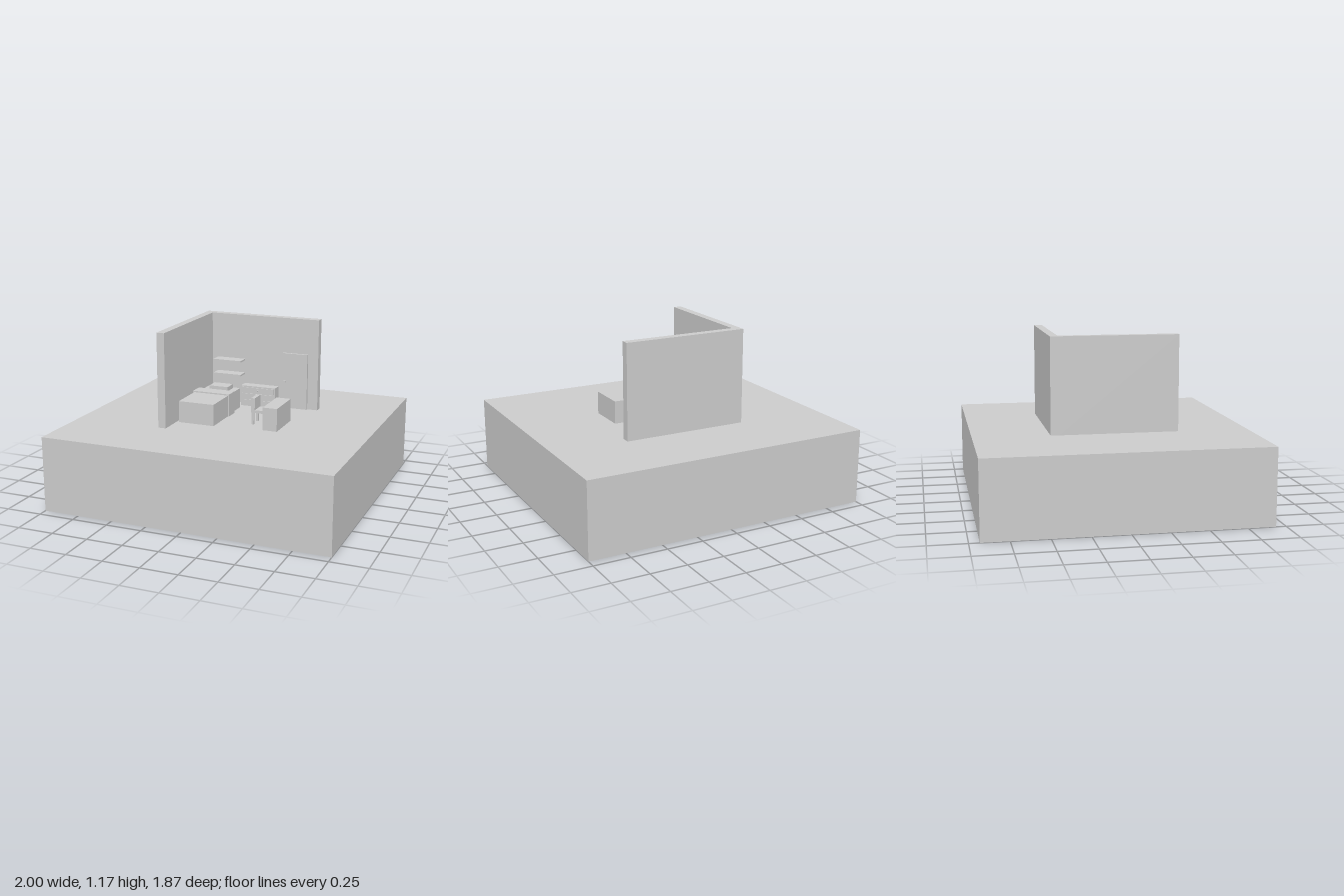
import * as THREE from 'three';

const material = new THREE.MeshStandardMaterial({ color: 0xcccccc, flatShading: true });
const FLOOR = 0.517;
const BACK = -0.36; // inner face of the back wall

// Box given by its extents along each axis
function block(parent, name, [x0, x1], [y0, y1], [z0, z1]) {
  const mesh = new THREE.Mesh(new THREE.BoxGeometry(x1 - x0, y1 - y0, z1 - z0), material);
  mesh.name = name;
  mesh.position.set((x0 + x1) / 2, (y0 + y1) / 2, (z0 + z1) / 2);
  parent.add(mesh);
  return mesh;
}

function knob(parent, name, x, y, z, r) {
  const mesh = new THREE.Mesh(new THREE.SphereGeometry(r, 10, 8), material);
  mesh.name = name;
  mesh.position.set(x, y, z);
  parent.add(mesh);
}

function section(parent, name) {
  const group = new THREE.Group();
  group.name = name;
  parent.add(group);
  return group;
}

export function createModel() {
  const model = new THREE.Group();
  model.name = 'bedroomDiorama';

  // Ground slab and the two walls
  block(model, 'ground', [-1, 1], [0, FLOOR], [-0.933, 0.933]);
  block(model, 'backWall', [-0.385, 0.482], [FLOOR, 1.172], [-0.417, BACK]);
  block(model, 'sideWall', [-0.385, -0.33], [FLOOR, 1.172], [BACK, 0.449]);

  // Bed
  const bed = section(model, 'bed');
  block(bed, 'mattress', [-0.3, -0.062], [FLOOR, 0.66], [-0.23, -0.07]);
  block(bed, 'blanket', [-0.31, -0.052], [FLOOR, 0.667], [0.01, 0.278]);
  block(bed, 'blanketFold', [-0.32, -0.043], [FLOOR, 0.676], [-0.08, 0.02]);
  block(bed, 'pillow', [-0.252, -0.11], [0.655, 0.69], [-0.211, -0.114]);

  // Chest of drawers
  const dresser = section(model, 'dresser');
  block(dresser, 'dresserBody', [-0.075, 0.187], [FLOOR, 0.667], [BACK, -0.286]);
  for (let i = 0; i < 3; i++) {
    const y = 0.525 + i * 0.046;
    block(dresser, 'drawerFront', [-0.065, 0.177], [y, y + 0.04], [-0.29, -0.28]);
    knob(dresser, 'drawerKnob', 0.056, y + 0.02, -0.278, 0.006);
  }

  // Wall shelves
  for (const y of [0.735, 0.837]) {
    block(model, 'shelf', [-0.287, -0.075], [y, y + 0.011], [BACK, -0.273]);
  }

  // Door
  const door = section(model, 'door');
  block(door, 'doorPanel', [0.22, 0.407], [FLOOR, 0.92], [BACK, -0.342]);
  block(door, 'doorHandle', [0.235, 0.247], [0.708, 0.72], [-0.342, -0.322]);

  // Desk
  block(model, 'desk', [0.289, 0.391], [FLOOR, 0.675], [-0.038, 0.239]);

  // Chair facing the desk
  const chair = section(model, 'chair');
  block(chair, 'chairSeat', [0.168, 0.289], [0.6, 0.62], [0.033, 0.14]);
  block(chair, 'chairBack', [0.168, 0.195], [0.6, 0.703], [0.033, 0.14]);
  for (const x of [0.171, 0.267]) {
    for (const z of [0.036, 0.121]) {
      block(chair, 'chairLeg', [x, x + 0.016], [FLOOR, 0.6], [z, z + 0.016]);
    }
  }
  return model;
}
